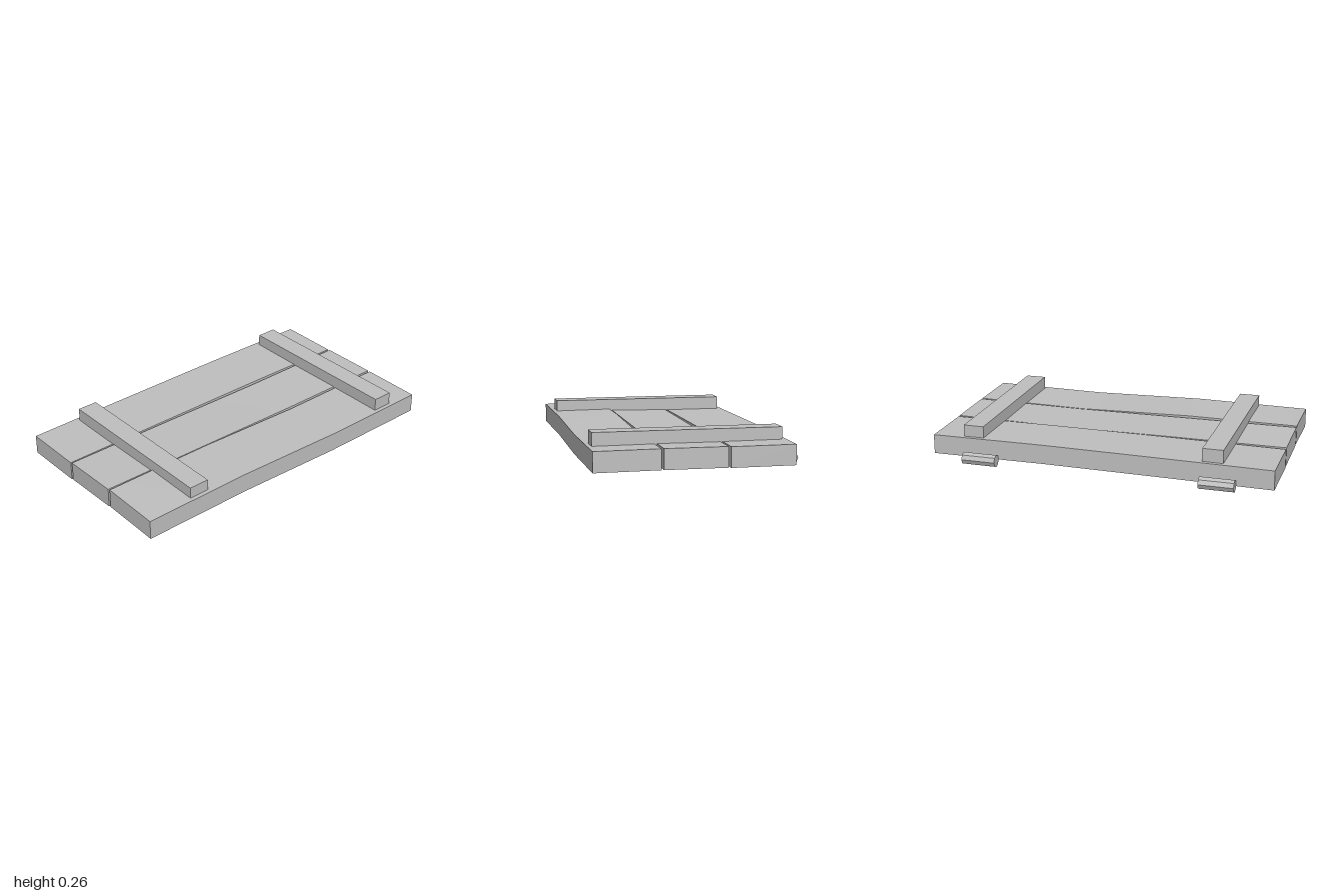
import * as THREE from 'three';

export function createModel() {
  const grey = new THREE.MeshStandardMaterial({ color: 0xbfbfbf });
  const plateGrey = grey.clone();
  grey.name = 'grey';
  plateGrey.name = 'plateGrey';
  plateGrey.side = THREE.DoubleSide;

  const door = new THREE.Group();
  door.name = 'door';

  function add(parent, name, geometry, x, y, z, material = grey) {
    const mesh = new THREE.Mesh(geometry, material);
    mesh.name = name;
    mesh.position.set(x, y, z);
    parent.add(mesh);
    return mesh;
  }

  // Move every vertex of a geometry by a rule
  function bend(geometry, rule) {
    const p = geometry.attributes.position;
    const v = new THREE.Vector3();
    for (let i = 0; i < p.count; i++) {
      rule(v.fromBufferAttribute(p, i));
      p.setXYZ(i, v.x, v.y, v.z);
    }
    geometry.computeVertexNormals();
    return geometry;
  }

  // Warped planks: top heights [left edge, right edge] from back to front
  const thickness = 0.113;
  const planks = [
    { x0: -0.51, x1: -0.152, tops: [[0.188, 0.186], [0.19, 0.187], [0.184, 0.183], [0.177, 0.177]] },
    { x0: -0.139, x1: 0.208, tops: [[0.188, 0.188], [0.18, 0.183], [0.182, 0.187], [0.182, 0.19]] },
    { x0: 0.222, x1: 0.583, tops: [[0.188, 0.185], [0.18, 0.178], [0.196, 0.194], [0.194, 0.188]] },
  ];
  for (const { x0, x1, tops } of planks) {
    const geometry = new THREE.BoxGeometry(x1 - x0, thickness, 2, 1, 1, 6);
    bend(geometry, (v) => {
      const t = (v.z + 1) * 1.5;
      const i = Math.min(2, Math.floor(t));
      const side = v.x < 0 ? 0 : 1;
      const top = THREE.MathUtils.lerp(tops[i][side], tops[i + 1][side], t - i);
      v.y += top - thickness / 2;
    });
    add(door, 'plank', geometry, (x0 + x1) / 2, 0, 0);
  }

  // Cross battens on top
  for (const z of [-0.76, 0.65]) {
    add(door, 'batten', new THREE.BoxGeometry(1.045, 0.077, 0.12), 0.037, 0.2185, z);
  }

  // Strap hinges underneath, each with a barrel and five nails
  for (const z of [-0.7, 0.69]) {
    const hinge = new THREE.Group();
    hinge.name = 'hinge';
    hinge.position.z = z;
    door.add(hinge);

    const strap = new THREE.BoxGeometry(0.93, 0.022, 1);
    bend(strap, (v) => { v.z *= v.x < 0 ? 0.12 : 0.075; });
    add(hinge, 'strap', strap, -0.065, 0.056, 0);

    const barrel = new THREE.CylinderGeometry(0.036, 0.036, 0.2, 8).toNonIndexed();
    barrel.rotateX(Math.PI / 2);
    barrel.computeVertexNormals();
    add(hinge, 'hingeBarrel', barrel, -0.549, 0.08, 0);

    for (let i = 0; i < 5; i++) {
      const nail = new THREE.CircleGeometry(0.014, 8);
      nail.rotateX(Math.PI / 2);
      add(hinge, 'nail', nail, 0.336 - 0.198 * i, 0.0438, 0);
    }
  }

  // Latch bar and flat pull ring below
  add(door, 'latchBar', new THREE.BoxGeometry(0.21, 0.033, 0.055), 0.385, 0.03, -0.097);
  const ring = new THREE.RingGeometry(0.07, 0.092, 16);
  ring.rotateX(Math.PI / 2);
  add(door, 'pullRing', ring, 0.39, 0, -0.275, plateGrey);

  return door;
}
